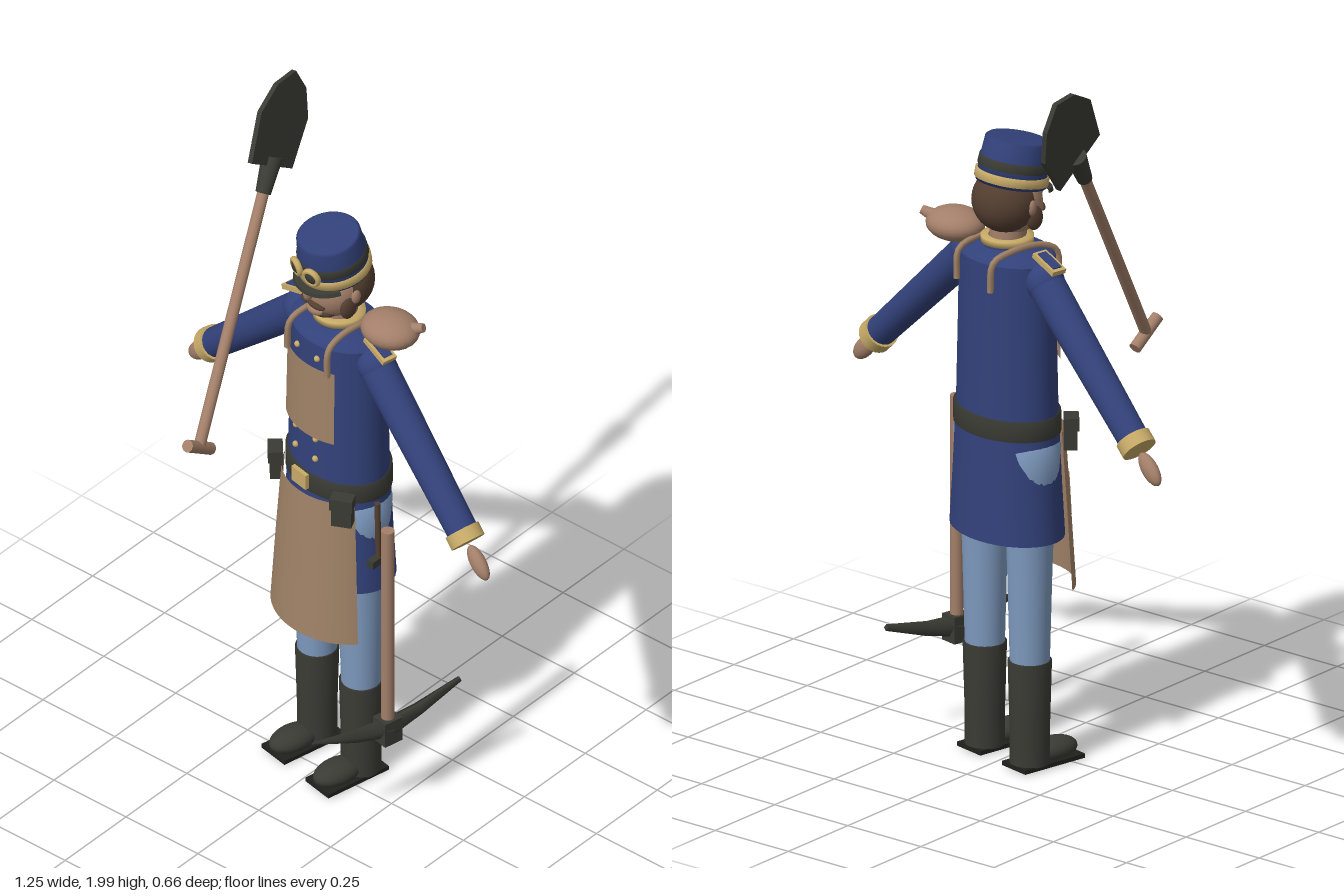
import * as THREE from 'three';

const mat = (name, color, side = THREE.FrontSide) => {
  const m = new THREE.MeshStandardMaterial({ color, side });
  m.name = name;
  return m;
};
const V = (x, y, z) => new THREE.Vector3(x, y, z);

export function createModel() {
  const coat = mat('coat blue', 0x32417a, THREE.DoubleSide);
  const trouser = mat('trouser blue', 0x7d99be);
  const leather = mat('dark leather and iron', 0x3a3b34);
  const sole = mat('sole black', 0x20211d);
  const apronTan = mat('apron tan', 0xa08267, THREE.DoubleSide);
  const skin = mat('skin and wood', 0xa37f69);
  const gold = mat('gold trim', 0xc8ab68);
  const hair = mat('hair brown', 0x533e30, THREE.DoubleSide);

  const model = new THREE.Group();
  model.name = 'sapper';
  const body = new THREE.Group();
  body.name = 'body';
  body.position.set(0, 0, -0.08);
  body.rotation.y = -0.2;
  model.add(body);

  const add = (parent, name, geo, material, pos = [0, 0, 0], scale = [1, 1, 1], rot = [0, 0, 0]) => {
    const m = new THREE.Mesh(geo, material);
    m.name = name;
    m.position.set(...pos);
    m.scale.set(...scale);
    m.rotation.set(...rot);
    parent.add(m);
    return m;
  };
  const ball = (parent, name, material, pos, radii, rot) =>
    add(parent, name, new THREE.SphereGeometry(1, 24, 16), material, pos, radii, rot);
  const box = (parent, name, material, pos, size, rot) =>
    add(parent, name, new THREE.BoxGeometry(...size), material, pos, [1, 1, 1], rot);
  // tapered rod from a to b
  const rod = (parent, name, material, a, b, ra, rb = ra, sides = 18) => {
    const d = b.clone().sub(a);
    const m = add(parent, name, new THREE.CylinderGeometry(rb, ra, d.length(), sides), material);
    m.position.copy(a).addScaledVector(d, 0.5);
    m.quaternion.setFromUnitVectors(V(0, 1, 0), d.normalize());
    return m;
  };
  // turned profile [radius, y], flattened front to back
  const turned = (parent, name, material, pts, depth = 1, start = 0, sweep = Math.PI * 2) =>
    add(parent, name, new THREE.LatheGeometry(pts.map(p => new THREE.Vector2(...p)), 36, start, sweep),
      material, [0, 0, 0], [1, 1, depth]);

  // coat, belt and collar
  turned(body, 'coatBody', coat, [[0.162, 0.96], [0.16, 1.05], [0.155, 1.25], [0.152, 1.43]], 0.72);
  turned(body, 'coatShoulders', coat, [[0.152, 1.43], [0.14, 1.442], [0.065, 1.46]], 0.74);
  turned(body, 'coatSkirt', coat, [[0.182, 0.65], [0.172, 0.8], [0.163, 0.97]], 0.72);
  turned(body, 'belt', leather, [[0.155, 0.942], [0.168, 0.942], [0.168, 0.998], [0.155, 0.998]], 0.74);
  box(body, 'buckle', gold, [0, 0.978, 0.132], [0.06, 0.046, 0.012]);
  turned(body, 'collar', coat, [[0.066, 1.43], [0.066, 1.468]]);
  turned(body, 'collarTrim', gold, [[0.05, 1.462], [0.071, 1.462], [0.071, 1.48], [0.05, 1.48]]);
  rod(body, 'neck', skin, V(0, 1.42, 0), V(0, 1.53, 0.005), 0.05);

  // apron with bib and pocket
  turned(body, 'apronSkirt', apronTan, [[0.2, 0.5], [0.185, 0.72], [0.168, 0.945]], 0.85, -1.1, 2.2);
  turned(body, 'apronPocket', apronTan, [[0.192, 0.68], [0.185, 0.8]], 0.85, -0.55, 0.75);
  turned(body, 'apronBib', apronTan, [[0.164, 1.13], [0.159, 1.36]], 0.77, -0.68, 1.36);

  for (const s of [-1, 1]) {
    // apron strap over the shoulder
    const strap = new THREE.CatmullRomCurve3([
      V(s * 0.085, 1.35, 0.108), V(s * 0.083, 1.435, 0.1), V(s * 0.078, 1.46, 0.05),
      V(s * 0.074, 1.46, -0.05), V(s * 0.072, 1.44, -0.108), V(s * 0.07, 1.36, -0.116)]);
    add(body, 'apronStrap', new THREE.TubeGeometry(strap, 24, 0.009, 6), apronTan);

    // coat buttons
    for (const [y, z] of [[1.385, 0.108], [1.12, 0.113], [1.055, 0.114]])
      ball(body, 'button', gold, [s * 0.042, y, z], [0.009, 0.009, 0.008]);

    // arm
    const shoulder = V(s * 0.155, 1.39, 0), wrist = V(s * 0.545, 1.035, 0);
    const at = t => shoulder.clone().lerp(wrist, t);
    ball(body, 'shoulder', coat, [s * 0.158, 1.388, 0], [0.053, 0.055, 0.053]);
    rod(body, 'sleeve', coat, shoulder, wrist, 0.051, 0.042, 24);
    rod(body, 'cuff', gold, at(0.95), at(1.02), 0.049, 0.049, 24);
    ball(body, 'hand', skin, [s * 0.596, 0.985, 0], [0.052, 0.026, 0.02], [0, 0, -s * 0.74]);
    box(body, 'epaulette', gold, [s * 0.175, 1.447, 0], [0.09, 0.014, 0.045], [0, 0, -s * 0.35]);
    box(body, 'epauletteCenter', coat, [s * 0.176, 1.452, 0], [0.07, 0.01, 0.028], [0, 0, -s * 0.35]);

    // leg, boot and belt pouch
    const leg = turned(body, 'trouserLeg', trouser,
      [[0.053, 0.28], [0.06, 0.55], [0.066, 0.72], [0.077, 0.82], [0.084, 0.91], [0.05, 0.94]]);
    leg.position.x = s * 0.094;
    const boot = turned(body, 'bootShaft', leather,
      [[0.054, 0.01], [0.054, 0.12], [0.059, 0.3], [0.05, 0.302]]);
    boot.position.x = s * 0.094;
    ball(body, 'bootToe', leather, [s * 0.094, 0.03, 0.08], [0.046, 0.033, 0.075]);
    box(body, 'bootSole', sole, [s * 0.094, 0.006, 0.047], [0.098, 0.012, 0.205]);
    const pouch = new THREE.Group();
    pouch.name = 'beltPouch';
    pouch.position.set(s * 0.142, 0.94, 0.1);
    pouch.rotation.y = s * 0.65;
    body.add(pouch);
    box(pouch, 'pouchCase', leather, [0, -0.005, 0], [0.055, 0.085, 0.035]);
    box(pouch, 'pouchFlap', leather, [0, 0.025, 0.003], [0.062, 0.035, 0.04]);
  }

  // head
  const head = new THREE.Group();
  head.name = 'head';
  body.add(head);
  ball(head, 'face', skin, [0, 1.565, 0.015], [0.083, 0.085, 0.085]);
  add(head, 'hairBack', new THREE.SphereGeometry(1, 28, 18, Math.PI - 0.3, Math.PI + 0.6), hair,
    [0, 1.58, -0.005], [0.093, 0.09, 0.091]);
  ball(head, 'beard', hair, [0, 1.513, 0.055], [0.05, 0.022, 0.038]);
  ball(head, 'chin', skin, [0, 1.517, 0.07], [0.035, 0.02, 0.03]);
  ball(head, 'nose', skin, [0, 1.58, 0.102], [0.012, 0.026, 0.018]);
  for (const s of [-1, 1]) {
    ball(head, 'moustache', hair, [s * 0.022, 1.545, 0.094], [0.026, 0.009, 0.013], [0, s * 0.35, -s * 0.2]);
    ball(head, 'sideburn', hair, [s * 0.078, 1.54, 0.03], [0.014, 0.034, 0.026]);
    ball(head, 'ear', skin, [s * 0.088, 1.575, 0.012], [0.01, 0.022, 0.014]);
    ball(head, 'eye', sole, [s * 0.032, 1.595, 0.088], [0.009, 0.006, 0.006]);
  }

  // cap, tipped forward, with goggles
  const cap = new THREE.Group();
  cap.name = 'cap';
  cap.position.set(0, 1.622, 0.012);
  cap.rotation.x = 0.2;
  head.add(cap);
  turned(cap, 'capCrown', coat, [[0, 0], [0.095, 0], [0.093, 0.06], [0.087, 0.12], [0.08, 0.126], [0, 0.126]]);
  turned(cap, 'capGoldBand', gold, [[0.09, 0.008], [0.1, 0.008], [0.1, 0.032], [0.09, 0.032]]);
  turned(cap, 'goggleStrap', leather, [[0.09, 0.045], [0.097, 0.045], [0.095, 0.07], [0.088, 0.07]]);
  add(cap, 'visor', new THREE.CylinderGeometry(0.096, 0.1, 0.01, 28, 1, false, -1.2, 2.4), leather, [0, 0, 0.02]);
  for (const s of [-1, 1]) {
    const lens = [s * 0.032, 0.053, 0.098], turn = [0, s * 0.25, 0];
    add(cap, 'goggleRim', new THREE.TorusGeometry(0.022, 0.007, 8, 24), gold, lens, [1, 1, 1.3], turn);
    ball(cap, 'goggleLens', leather, lens, [0.021, 0.021, 0.012], turn);
  }

  // water gourd on the left shoulder
  ball(model, 'gourd', skin, [0.161, 1.478, -0.1], [0.084, 0.046, 0.073]);
  rod(model, 'gourdNeck', skin, V(0.2, 1.485, -0.115), V(0.25, 1.505, -0.132), 0.022, 0.012);

  // hammer hanging at the left hip
  rod(model, 'hammerHandle', hair, V(0.181, 0.76, -0.028), V(0.177, 0.945, -0.028), 0.008);
  box(model, 'hammerHead', leather, [0.181, 0.762, -0.028], [0.022, 0.022, 0.07]);

  // shovel leaning over the right shoulder
  const foot = V(-0.18, 1.135, 0.283), axis = V(-0.11, 0.61, -0.41).normalize();
  const along = t => foot.clone().addScaledVector(axis, t);
  rod(model, 'shovelHandle', skin, foot, along(0.74), 0.016);
  rod(model, 'shovelGrip', skin, V(-0.18, 1.105, 0.235), V(-0.18, 1.168, 0.33), 0.017);
  rod(model, 'shovelSocket', leather, along(0.7), along(0.8), 0.021, 0.029);
  const outline = [[-0.1, 0], [0.1, 0], [0.115, 0.14], [0.07, 0.22], [0, 0.262], [-0.07, 0.22], [-0.115, 0.14]];
  const bladeGeo = new THREE.ExtrudeGeometry(new THREE.Shape(outline.map(p => new THREE.Vector2(...p))),
    { depth: 0.014, bevelEnabled: false });
  bladeGeo.translate(0, 0, -0.007);
  const blade = add(model, 'shovelBlade', bladeGeo, leather);
  const across = V(0, -0.41, -0.61).normalize();
  blade.quaternion.setFromRotationMatrix(
    new THREE.Matrix4().makeBasis(across, axis, across.clone().cross(axis)));
  blade.position.copy(along(0.775));

  // pickaxe at the left side, head down
  const hub = V(0.262, 0.275, 0.03);
  rod(model, 'pickaxeHandle', skin, V(0.262, 0.28, 0.03), V(0.262, 0.93, 0.03), 0.018);
  box(model, 'pickaxeHub', leather, [0.262, 0.272, 0.03], [0.052, 0.075, 0.058], [0, -0.2, 0]);
  const midFront = V(0.24, 0.293, 0.13), midBack = V(0.284, 0.29, -0.07);
  rod(model, 'pickaxePointRoot', leather, hub, midFront, 0.03, 0.02, 4);
  rod(model, 'pickaxePoint', leather, midFront, V(0.21, 0.337, 0.278), 0.02, 0.003, 4);
  rod(model, 'pickaxeBladeRoot', leather, hub, midBack, 0.03, 0.02, 4);
  rod(model, 'pickaxeBlade', leather, midBack, V(0.313, 0.325, -0.205), 0.02, 0.009, 4);

  return model;
}
